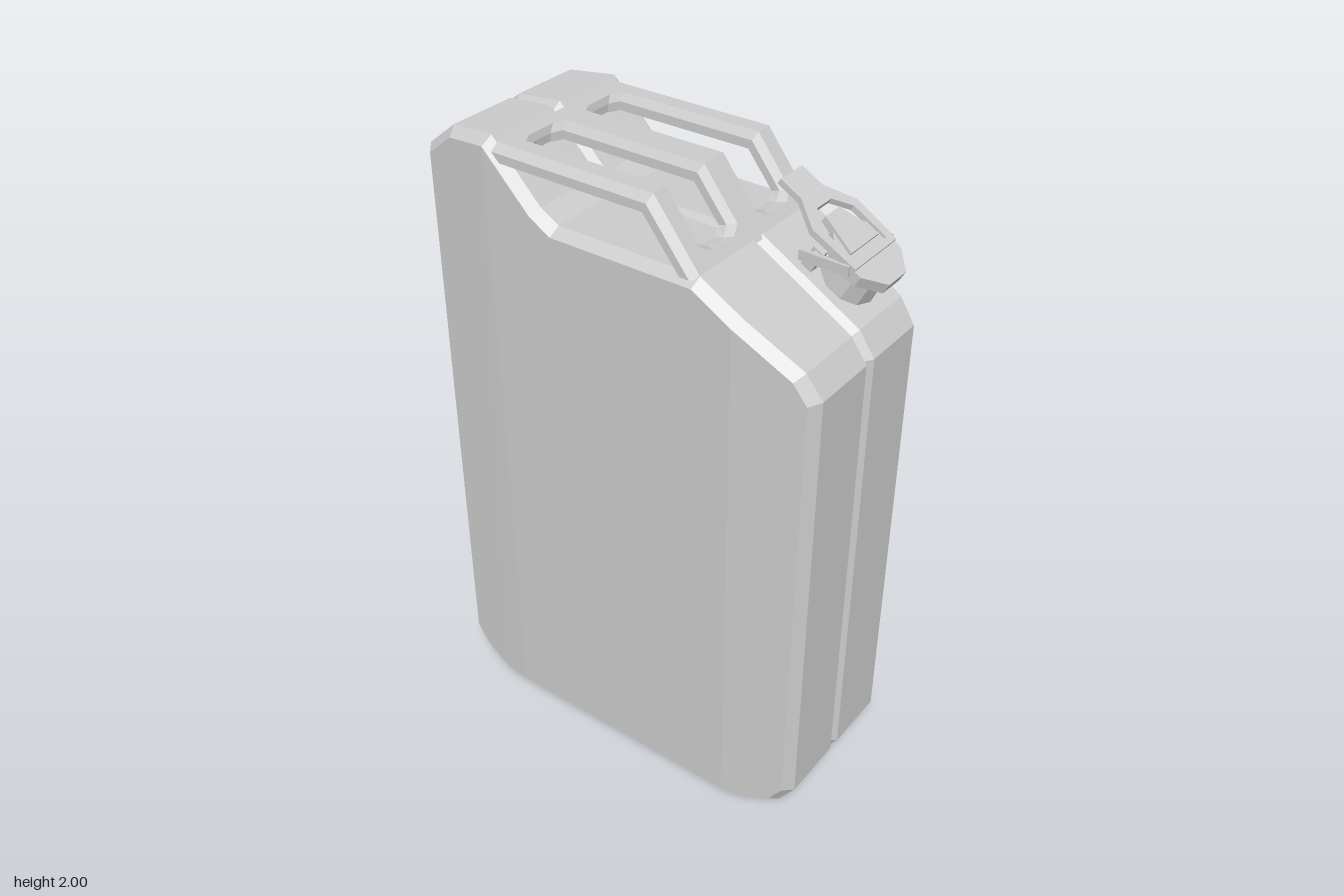
import * as THREE from 'three';

const material = new THREE.MeshStandardMaterial({ color: 0xcccccc, flatShading: true });

function add(parent, name, geometry, x = 0, y = 0, z = 0) {
  const mesh = new THREE.Mesh(geometry, material);
  mesh.name = name;
  mesh.position.set(x, y, z);
  parent.add(mesh);
  return mesh;
}

// Closed solid through matching rings; outline is the flat loop used to fill the ends,
// groups lists the index loops that make up each end.
function loft(rings, outline, groups) {
  const n = outline.length, tris = [];
  const ccw = !THREE.ShapeUtils.isClockWise(outline);
  for (let k = 0; k < rings.length - 1; k++) {
    for (let i = 0; i < n; i++) {
      const j = (i + 1) % n;
      const [p, q] = ccw ? [i, j] : [j, i];
      const a = rings[k][p], b = rings[k][q], c = rings[k + 1][q], d = rings[k + 1][p];
      tris.push([a, b, c], [a, c, d]);
    }
  }
  const first = rings[0], last = rings[rings.length - 1];
  for (const g of groups) {
    for (const f of THREE.ShapeUtils.triangulateShape(g.map(i => outline[i]), [])) {
      const [a, b, c] = f.map(i => g[i]);
      tris.push([last[a], last[b], last[c]], [first[c], first[b], first[a]]);
    }
  }
  // Turn the faces outward if the loops ran the other way
  const volume = tris.reduce((s, [a, b, c]) => s + a.dot(b.clone().cross(c)), 0);
  if (volume < 0) tris.forEach(t => t.reverse());
  const geometry = new THREE.BufferGeometry().setFromPoints(tris.flat());
  geometry.computeVertexNormals();
  return geometry;
}

// Moves a clockwise or counter-clockwise loop inward with mitred corners
function inset(loop, amount) {
  const s = THREE.ShapeUtils.isClockWise(loop) ? -1 : 1;
  const n = loop.length;
  const normal = (a, b) => {
    const d = b.clone().sub(a).normalize();
    return new THREE.Vector2(-d.y * s, d.x * s);
  };
  return loop.map((p, i) => {
    const n1 = normal(loop[(i + n - 1) % n], p), n2 = normal(p, loop[(i + 1) % n]);
    return n1.clone().add(n2).multiplyScalar(amount / (1 + n1.dot(n2))).add(p);
  });
}

// Two pressed shells meeting in a central seam, with chamfered, tapering sides
function bodyGeometry() {
  const profile = [
    [0.65, 1.55], [0.6, 1.62], [0.42, 1.725], [0.29, 1.8], [-0.17, 1.8], [-0.23, 1.835],
    [-0.39, 2], [-0.54, 1.985], [-0.65, 1.9], [-0.65, 0.12], [-0.59, 0.05], [-0.48, 0],
    [-0.39, 0], [0.42, 0], [0.48, 0], [0.6, 0.05], [0.65, 0.12],
  ].map(p => new THREE.Vector2(...p));
  const side = z => 0.29 - 0.125 * Math.max(0, Math.abs(z) - 0.42);
  const ring = (amount, xOf) =>
    inset(profile, amount).map(p => new THREE.Vector3(xOf(p.x), p.y, p.x));
  const rings = [
    ring(0.026, z => -side(z)), ring(0, z => 0.03 - side(z)), ring(0, () => -0.02),
    ring(0.02, () => 0),
    ring(0, () => 0.02), ring(0, z => side(z) - 0.03), ring(0.026, side),
  ];
  const pick = test => profile.map((p, i) => i).filter(i => test(profile[i].x));
  return loft(rings, profile, [
    pick(z => z >= 0.42), pick(z => z <= 0.42 && z >= -0.39), pick(z => z <= -0.39),
  ]);
}

// Three-bar comb plate: f runs from the joined root (0) to the bar ends (1)
function comb(slotEnd, corner, i) {
  const points = [[-0.28 + i, 0], [0.28 - i, 0], [0.28 - i, 1]];
  for (const c of [0.125, -0.125]) {
    const w = 0.065 + i * 0.8, e = slotEnd - i * 0.5;
    points.push([c + w, 1], [c + w, e + corner], [c + w - 0.035, e],
      [c - w + 0.035, e], [c - w, e + corner], [c - w, 1]);
  }
  points.push([-0.28 + i, 1]);
  return points.map(p => new THREE.Vector2(...p));
}

// Comb plate laid between a lower and an upper line in the side plane (z, y)
function combPlate(slotEnd, corner, lower, upper) {
  const layers = [[0, 0], [0.55, 0], [1, 0.022]];
  const at = (line, f) => new THREE.Vector2(...line[0]).lerp(new THREE.Vector2(...line[1]), f);
  const rings = layers.map(([h, i]) => comb(slotEnd, corner, i).map(p => {
    const q = at(lower, p.y).lerp(at(upper, p.y), h);
    return new THREE.Vector3(p.x, q.y, q.x);
  }));
  const outline = comb(slotEnd, corner, 0);
  return loft(rings, outline, [outline.map((p, i) => i)]);
}

// Flat plate drawn in x and z, standing on y = 0
function plate(points, hole, depth) {
  const toVectors = list => list.map(([x, z]) => new THREE.Vector2(x, -z));
  const shape = new THREE.Shape(toVectors(points));
  if (hole) shape.holes.push(new THREE.Path(toVectors(hole)));
  return new THREE.ExtrudeGeometry(shape, { depth, bevelEnabled: false }).rotateX(-Math.PI / 2);
}

// Pour spout with clamped lid and lever, built upright and tilted onto the sloping shoulder
function createSpout() {
  const spout = new THREE.Group();
  spout.name = 'spout';
  spout.position.set(0.13, 1.685, 0.49);
  spout.rotation.x = Math.PI / 6;
  add(spout, 'neck', new THREE.CylinderGeometry(0.075, 0.085, 0.12, 10), 0, 0.03, 0.005);
  const lid = new THREE.CylinderGeometry(0.112, 0.112, 0.035, 8);
  lid.rotateY(Math.PI / 8);
  add(spout, 'lid', lid, 0, 0.1, 0);
  const lever = plate(
    [[-0.105, 0.02], [0.105, 0.02], [0.11, -0.13], [0.052, -0.215], [0.052, -0.29],
      [-0.052, -0.29], [-0.052, -0.215], [-0.11, -0.13]],
    [[-0.08, 0], [0.08, 0], [0.08, -0.12], [0.035, -0.17], [-0.035, -0.17], [-0.08, -0.12]],
    0.018);
  add(spout, 'lever', lever, 0, 0.108, 0);
  // Raised tongue joining the lever to the lid
  add(spout, 'clampTongue', plate(
    [[-0.07, -0.02], [0.07, -0.02], [0.035, -0.14], [-0.035, -0.14]], null, 0.022), 0, 0.105, 0);
  for (const s of [-1, 1]) {
    const arm = add(spout, 'clampArm', new THREE.BoxGeometry(0.014, 0.03, 0.15), s * 0.108, 0.075, -0.055);
    arm.rotation.x = -0.5;
    add(spout, 'hingeLug', new THREE.BoxGeometry(0.03, 0.08, 0.035), s * 0.07, 0.03, -0.09);
  }
  const pin = new THREE.CylinderGeometry(0.012, 0.012, 0.23, 6).rotateZ(Math.PI / 2);
  add(spout, 'hingePin', pin, 0, 0.055, -0.09);
  return spout;
}

export function createModel() {
  const model = new THREE.Group();
  model.name = 'fuelCan';
  add(model, 'body', bodyGeometry());

  // Triple carrying handle: sloping legs and level grips share the same mitre
  const handle = new THREE.Group();
  handle.name = 'handle';
  model.add(handle);
  const bendLow = [0.125, 1.935], bendHigh = [0.145, 1.983];
  add(handle, 'handleLegs', combPlate(0.2, 0.1, [[0.24, 1.79], bendLow], [[0.295, 1.79], bendHigh]));
  add(handle, 'handleGrips', combPlate(0.1, 0.03, [[-0.38, 1.935], bendLow], [[-0.38, 1.983], bendHigh]));

  model.add(createSpout());
  return model;
}
